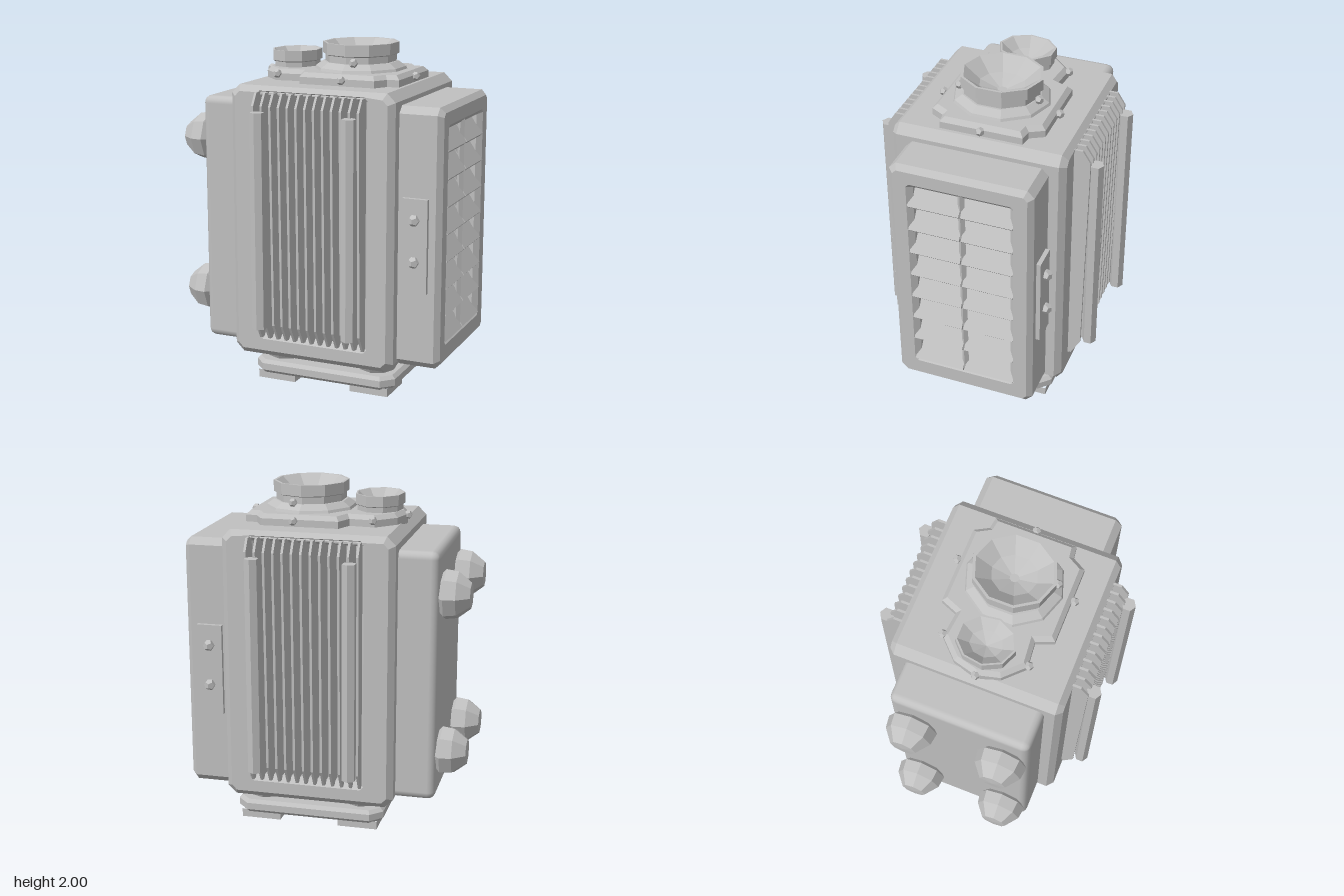
import * as THREE from 'three';
import { RoundedBoxGeometry } from 'three/addons/geometries/RoundedBoxGeometry.js';

export function createModel() {
  const model = new THREE.Group();
  model.name = 'machineUnit';
  const grey = new THREE.MeshStandardMaterial({ color: 0xc0c0c0 });
  grey.name = 'castMetal';

  function add(name, geometry, x = 0, y = 0, z = 0, parent = model) {
    const mesh = new THREE.Mesh(geometry, grey);
    mesh.name = name;
    mesh.position.set(x, y, z);
    parent.add(mesh);
    return mesh;
  }
  const flat = (g) => {
    const n = g.index ? g.toNonIndexed() : g;
    n.computeVertexNormals();
    return n;
  };
  const polygon = (pts) => new THREE.Shape(pts.map(([x, y]) => new THREE.Vector2(x, y)));
  const rect = (x0, y0, x1, y1, c) => polygon([
    [x0 + c, y0], [x1 - c, y0], [x1, y0 + c], [x1, y1 - c],
    [x1 - c, y1], [x0 + c, y1], [x0, y1 - c], [x0, y0 + c]]);
  // Bevelled slab, optionally pierced, spanning z = 0..depth
  function slab(shape, depth, bevel, hole) {
    if (hole) shape.holes.push(hole);
    const g = new THREE.ExtrudeGeometry(shape, {
      depth: depth - 2 * bevel, bevelEnabled: bevel > 0, bevelSize: bevel,
      bevelThickness: bevel, bevelOffset: -bevel, bevelSegments: 1 });
    return g.translate(0, 0, bevel);
  }
  const lathe = (pts, sides) =>
    flat(new THREE.LatheGeometry(pts.map(([r, y]) => new THREE.Vector2(r, y)), sides));
  const bolt = new THREE.DodecahedronGeometry(0.026);

  // Main housing with an opening at the front and back, closed by an inner core
  add('mainHousing', slab(rect(-0.43, 0.18, 0.57, 1.78, 0.05), 1.01, 0.035,
    rect(-0.225, 0.32, 0.385, 1.72, 0.001)), 0, 0, -0.505);
  add('housingCore', new THREE.BoxGeometry(0.9, 1.46, 0.84), 0.07, 1.0, 0);

  // Cooling fins and guard rods, repeated front and back
  const finShape = polygon([[0.4, 0.29], [0.52, 0.3], [0.575, 0.4],
    [0.595, 1.68], [0.55, 1.75], [0.4, 1.75]]);
  const finGeometry = slab(finShape, 0.014, 0).translate(0, 0, -0.007).rotateY(-Math.PI / 2);
  const rodGeometry = flat(new THREE.CylinderGeometry(0.042, 0.042, 1.26, 6));
  for (const side of [1, -1]) {
    const grille = new THREE.Group();
    grille.name = side > 0 ? 'frontFinBank' : 'backFinBank';
    model.add(grille);
    for (let i = 0; i < 13; i++) {
      const fin = add('coolingFin', finGeometry, -0.24 + i * 0.0533, 0, 0, grille);
      if (side < 0) fin.rotation.y = Math.PI;
    }
    for (const x of [-0.2, 0.355]) add('guardRod', rodGeometry, x, 1.02, side * 0.615, grille);
  }

  // Left louvre box: pierced frame, back panel, centre post and two columns of slats
  const frame = slab(rect(-0.415, 0.21, 0.415, 1.705, 0.04), 0.28, 0.03,
    rect(-0.28, 0.36, 0.28, 1.57, 0.001)).rotateY(Math.PI / 2);
  add('louvreFrame', frame, 0.54, 0, 0);
  add('louvreBackPanel', new THREE.BoxGeometry(0.16, 1.4, 0.74), 0.65, 0.96, 0);
  add('louvrePost', flat(new THREE.CylinderGeometry(0.02, 0.02, 1.26, 4)), 0.79, 0.965, 0);
  const slat = polygon([[0.7, -0.07], [0.81, -0.075], [0.825, -0.06], [0.74, 0.07], [0.7, 0.07]]);
  const slatGeometry = slab(slat, 0.3, 0);
  for (let i = 0; i < 8; i++) {
    for (const z of [-0.305, 0.005]) add('louvreSlat', slatGeometry, 0, 0.41 + i * 0.158, z);
  }

  // Bolted straps on the front and back of the louvre box
  for (const side of [1, -1]) {
    add('strap', new THREE.BoxGeometry(0.15, 0.54, 0.04), 0.675, 0.93, side * 0.42);
    for (const y of [0.84, 1.08]) {
      add('strapBolt', new THREE.DodecahedronGeometry(0.034), 0.675, y, side * 0.45);
    }
  }

  // Right side box with four knobs
  add('sideBox', new RoundedBoxGeometry(0.34, 1.47, 0.82, 2, 0.045), -0.49, 0.955, 0);
  const knob = lathe([[0.1, -0.02], [0.145, 0.02], [0.135, 0.09], [0.075, 0.165], [0, 0.17]], 8)
    .rotateZ(Math.PI / 2);
  for (const y of [0.49, 1.425]) {
    for (const z of [-0.27, 0.265]) add('knob', knob, -0.66, y, z);
  }

  // Top flange: a wide collar joined to a smaller one
  const half = [[0.5, 0.24], [0.43, 0.25], [0.385, 0.33], [-0.07, 0.33],
    [-0.11, 0.23], [-0.26, 0.245], [-0.37, 0.135]];
  const outline = [...half, [-0.405, 0], ...half.map(([x, z]) => [x, -z]).reverse()];
  add('topFlange', slab(polygon(outline), 0.1, 0.025).rotateX(-Math.PI / 2), 0, 1.745, 0);
  const collar = add('mainCollar',
    lathe([[0.29, 0], [0.275, 0.03], [0.23, 0.06], [0, 0.06]], 10), 0.17, 1.83, 0);
  collar.scale.set(0.95, 1, 1);

  // Two open outlets with funnel interiors
  const outlet = (name, r, height, depth, sides, x, y, squash) => {
    const m = add(name, lathe([[r * 0.93, 0], [r * 0.93, height * 0.45], [r, height * 0.5],
      [r, height], [r * 0.93, height], [r * 0.55, height - depth * 0.6],
      [0, height - depth]], sides), x, y, 0);
    m.scale.x = squash;
  };
  outlet('mainOutlet', 0.24, 0.13, 0.12, 10, 0.17, 1.87, 0.92);
  outlet('smallOutlet', 0.17, 0.12, 0.085, 9, -0.24, 1.82, 0.85);

  // Flange bolts
  for (const [x, y, z] of [[0.19, 1.815, 0.345], [0.19, 1.815, -0.345], [0.51, 1.815, 0],
    [-0.405, 1.815, 0], [-0.25, 1.82, 0.25], [-0.25, 1.82, -0.25],
    [0.22, 1.9, 0.235], [0.22, 1.9, -0.235]]) {
    add('flangeBolt', bolt, x, y, z);
  }

  // Base plate with mounts above and hollow square feet below
  add('basePlate', slab(rect(-0.35, -0.425, 0.54, 0.425, 0.07), 0.08, 0.02)
    .rotateX(-Math.PI / 2), 0, 0.04, 0);
  const mount = flat(new THREE.CylinderGeometry(0.145, 0.1, 0.08, 8));
  const foot = lathe([[0, 0.03], [0.168, 0], [0.168, 0.05]], 4).rotateY(Math.PI / 4);
  for (const x of [-0.2, 0.39]) {
    for (const z of [-0.28, 0.28]) {
      add('mount', mount, x, 0.15, z * 0.93);
      add('foot', foot, x, 0, z);
    }
  }
  return model;
}
